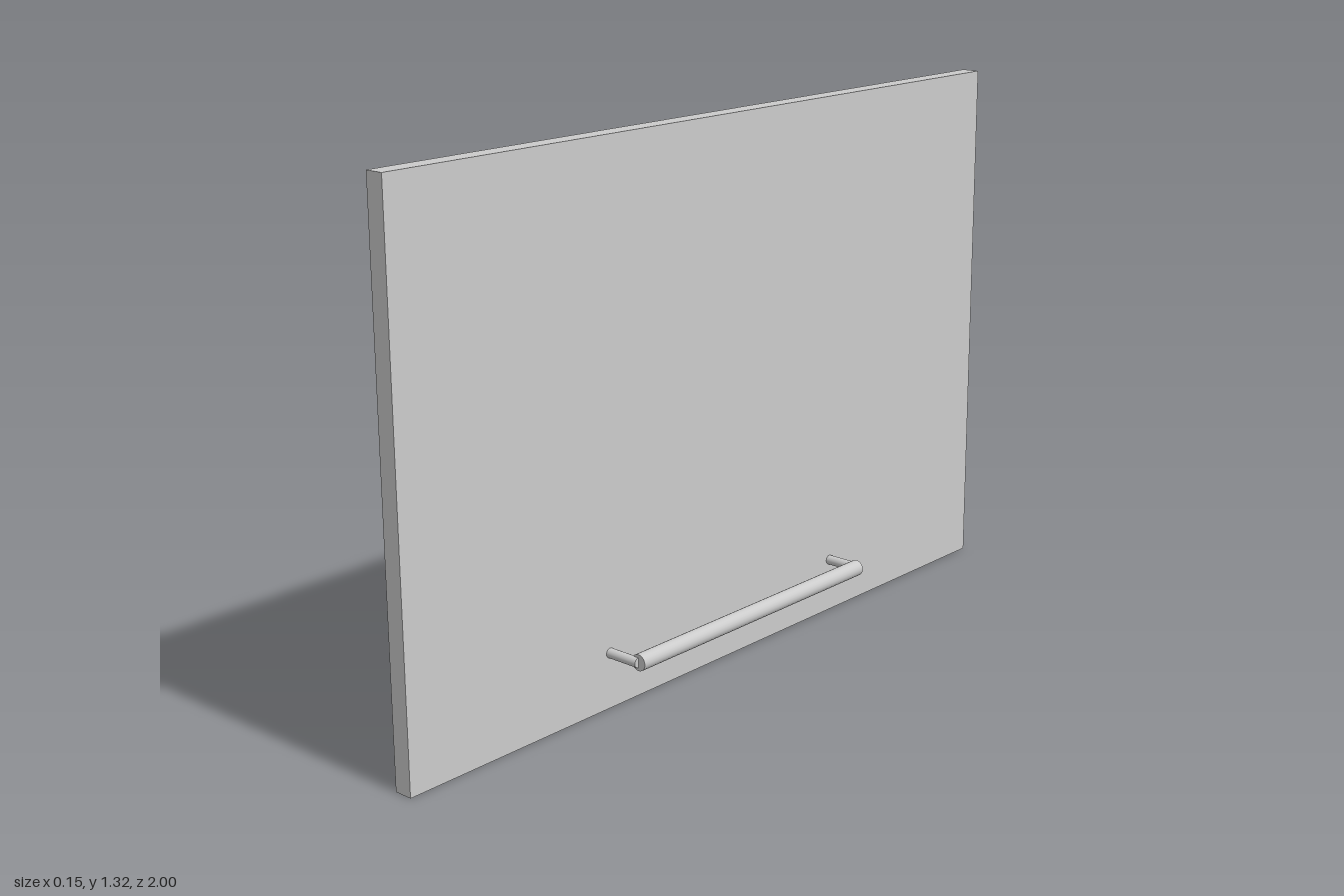
import * as THREE from 'three';

export function createModel() {
  const group = new THREE.Group();
  const material = new THREE.MeshStandardMaterial({ color: 0xcccccc });
  const add = (name, geometry, x, y, z, parent = group) => {
    const mesh = new THREE.Mesh(geometry, material);
    mesh.name = name;
    mesh.position.set(x, y, z);
    parent.add(mesh);
    return mesh;
  };

  // Flat door panel
  const height = 1.315, inner = -0.077, outer = -0.031;
  add('panel', new THREE.BoxGeometry(outer - inner, height, 2), (inner + outer) / 2, height / 2, 0);

  // Bar handle standing off the panel on two posts
  const handle = new THREE.Group();
  handle.name = 'handle';
  group.add(handle);
  const barX = 0.057, barY = 0.135, halfLength = 0.4;
  add('handleBar', new THREE.CylinderGeometry(0.02, 0.02, halfLength * 2, 20), barX, barY, 0, handle)
    .rotation.x = Math.PI / 2;

  const postLength = barX - outer;
  for (const [name, side] of [['frontPost', 1], ['backPost', -1]]) {
    add(name, new THREE.CylinderGeometry(0.012, 0.012, postLength, 20), outer + postLength / 2, barY, side * halfLength, handle)
      .rotation.z = Math.PI / 2;
  }
  return group;
}
